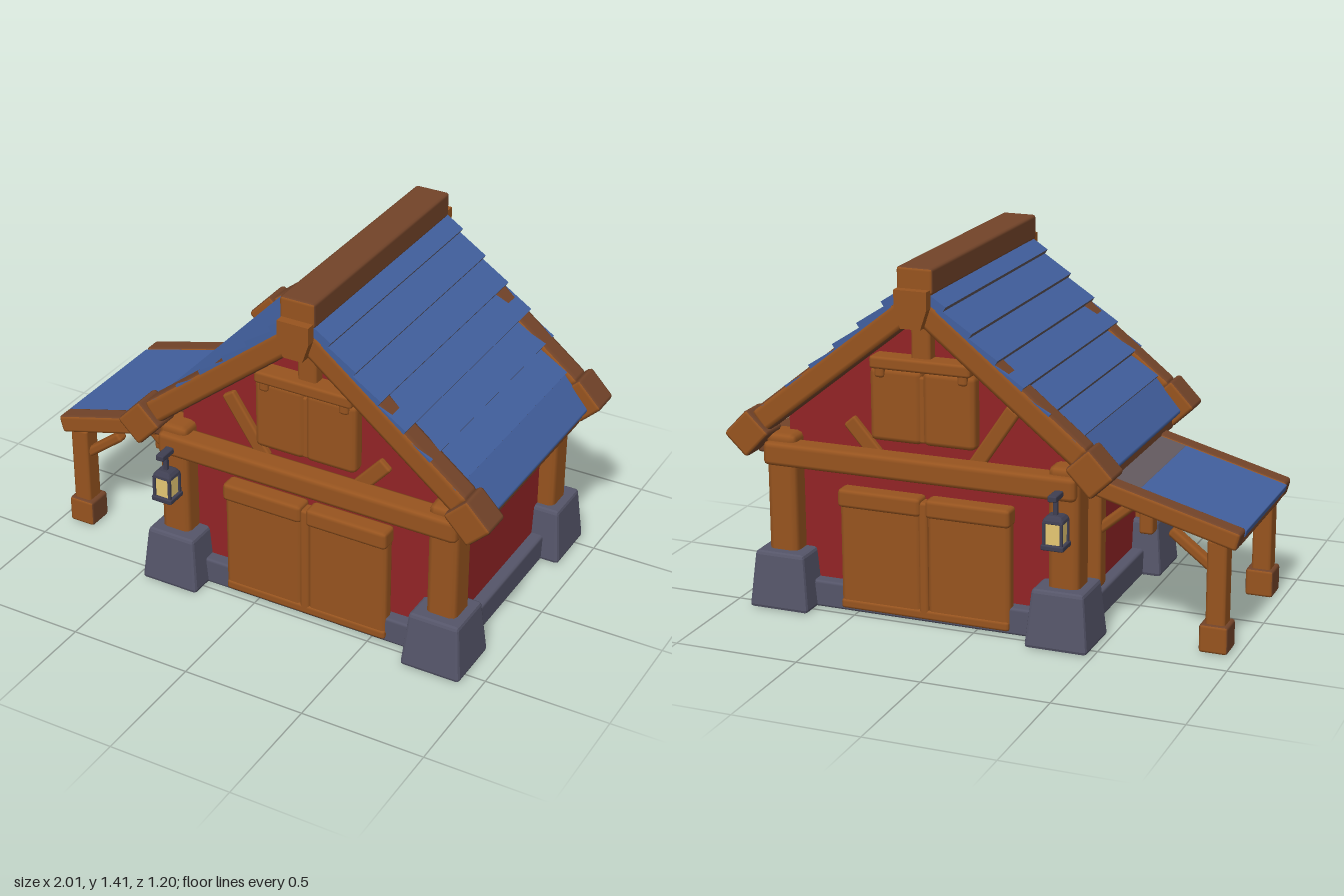
import * as THREE from 'three';
import { RoundedBoxGeometry } from 'three/addons/geometries/RoundedBoxGeometry.js';

const mat = (name, color) => {
  const m = new THREE.MeshStandardMaterial({ color });
  m.name = name;
  return m;
};

export function createModel() {
  const model = new THREE.Group();
  model.name = 'barn';
  const wood = mat('warm wood', 0x97541f);
  const dark = mat('dark wood', 0x734429);
  const red = mat('red wall', 0x922426);
  const blue = mat('blue roof', 0x42609f);
  const worn = mat('worn plank edge', 0x645a60);
  const stone = mat('grey stone', 0x555569);
  const iron = mat('dark iron', 0x3f3f52);
  const glow = mat('lamp glow', 0xe6c873);
  const CX = 0.222; // centre line of the house
  // timber with dark sides and warm front and back
  const timber = [dark, dark, dark, dark, wood, wood];

  const add = (name, geo, material, x, y, z, parent = model) => {
    const m = new THREE.Mesh(geo, material);
    m.name = name;
    m.position.set(x, y, z);
    parent.add(m);
    return m;
  };
  const block = (name, w, h, d, material, x, y, z, parent = model, r = 0.012) =>
    add(name, new RoundedBoxGeometry(w, h, d, 1, Math.min(r, w / 3, h / 3, d / 3)), material, x, y, z, parent);
  // box running between two points of the xy plane
  const beam = (name, a, b, thick, depth, material, z, parent = model, r = 0.014) => {
    const dx = b[0] - a[0], dy = b[1] - a[1];
    const m = block(name, Math.hypot(dx, dy), thick, depth, material,
      (a[0] + b[0]) / 2, (a[1] + b[1]) / 2, z, parent, r);
    m.rotation.z = Math.atan2(dy, dx);
    return m;
  };
  const extrude = (points, depth) => {
    const shape = new THREE.Shape(points.map(p => new THREE.Vector2(p[0], p[1])));
    return new THREE.ExtrudeGeometry(shape, { depth, bevelEnabled: false }).translate(0, 0, -depth / 2);
  };
  // box narrowed towards the top
  const taper = (w, h, d, k) => {
    const g = new RoundedBoxGeometry(w, h, d, 1, 0.014);
    const p = g.attributes.position;
    for (let i = 0; i < p.count; i++) {
      const s = 1 - (1 - k) * (p.getY(i) / h + 0.5);
      p.setX(i, p.getX(i) * s);
      p.setZ(i, p.getZ(i) * s);
    }
    g.computeVertexNormals();
    return g;
  };

  // walls
  add('walls', extrude([[-0.575, 0.05], [0.575, 0.05], [0.575, 0.79], [0, 1.25], [-0.575, 0.79]], 0.84),
    red, CX, 0, 0);

  // stone sill, corner stones, posts and side beams
  for (const s of [1, -1]) {
    block('stoneSill', 1.1, 0.11, 0.15, stone, CX, 0.055, s * 0.395);
    block('sideSill', 0.15, 0.11, 0.8, stone, CX + s * 0.55, 0.055, 0);
    block('sideBeam', 0.1, 0.09, 0.8, dark, CX + s * 0.57, 0.615, 0);
    for (const t of [1, -1]) {
      add('cornerStone', taper(0.25, 0.23, 0.25, 0.82), stone, CX + s * 0.575, 0.115, t * 0.443);
      block('cornerPost', 0.125, 0.5, 0.13, wood, CX + s * 0.58, 0.45, t * 0.435, model, 0.025);
    }
  }

  // roof halves
  const roofHalf = (name, turn) => {
    const g = new THREE.Group();
    g.name = name;
    g.position.x = CX;
    g.rotation.y = turn;
    model.add(g);
    beam('roofDeck', [0.02, 1.26], [0.66, 0.74], 0.05, 1.0, dark, 0, g);
    const a = THREE.MathUtils.degToRad(33), c = Math.cos(a), s = Math.sin(a), len = 0.16, t = 0.034;
    for (let i = 0; i < 6; i++) {
      const x = 0.13 + 0.102 * i, y = 1.27 - 0.091 * i;
      const plank = add('roofPlank', new THREE.BoxGeometry(len, t, 1.05), [worn, blue, blue, blue, blue, blue],
        x - c * len / 2 - s * t / 2, y + s * len / 2 - c * t / 2, 0, g);
      plank.rotation.z = -a;
    }
    beam('eaveSheet', [0.6, 0.82], [0.73, 0.665], 0.035, 0.88, blue, 0, g);
    block('eaveBeam', 0.07, 0.07, 0.9, dark, 0.67, 0.635, 0, g);
    for (const z of [0.48, -0.48]) {
      beam('rafter', [0.02, 1.255], [0.66, 0.745], 0.1, 0.1, timber, z, g, 0.022);
      beam('rafterEnd', [0.648, 0.755], [0.748, 0.65], 0.13, 0.13, timber, z + Math.sign(z) * 0.008, g);
    }
  };
  roofHalf('rightRoof', 0);
  roofHalf('leftRoof', Math.PI);
  block('ridgeBeam', 0.145, 0.1, 1.06, timber, 0.215, 1.36, 0);

  // gable ends
  for (const s of [1, -1]) {
    add('ridgeCap', extrude([[-0.065, 1.33], [-0.065, 1.26], [-0.04, 1.185], [0.04, 1.185], [0.065, 1.26], [0.065, 1.33]],
      0.1), timber[4], 0.217, 0, s * 0.515);
    block('kingPost', 0.08, 0.2, 0.06, wood, 0.22, 1.11, s * 0.44);
    block('tieBeam', 1.28, 0.095, 0.1, wood, CX + 0.005, 0.622, s * 0.475, model, 0.02);
    beam('gableBrace', [-0.14, 0.88], [0.02, 0.64], 0.06, 0.03, wood, s * 0.43);
    beam('gableBrace', [0.535, 0.77], [0.42, 0.64], 0.06, 0.03, wood, s * 0.43);

    // hayloft shutters
    for (const x of [0.106, 0.323]) {
      block('loftShutter', 0.213, 0.29, 0.07, wood, x, 0.857, s * 0.445, model, 0.022);
      block('shutterHinge', 0.04, 0.05, 0.075, wood, x + (x < 0.2 ? -0.06 : 0.06), 0.99, s * 0.455);
    }
    block('loftRail', 0.41, 0.05, 0.09, wood, 0.215, 1.025, s * 0.455);
    block('loftCatch', 0.03, 0.26, 0.04, wood, 0.215, 0.85, s * 0.455);

    // main doors
    for (const x of [0.03, 0.395]) {
      block('barnDoor', 0.34, 0.46, 0.06, wood, x, 0.25, s * 0.45, model, 0.02);
      block('doorTopRail', 0.345, 0.075, 0.08, wood, x, 0.468, s * 0.455, model, 0.016);
    }
    block('doorPost', 0.04, 0.47, 0.06, wood, 0.214, 0.255, s * 0.455);
    block('doorSill', 0.7, 0.04, 0.06, wood, 0.214, 0.035, s * 0.455);

    // hanging lantern
    const lamp = new THREE.Group();
    lamp.name = 'lantern';
    lamp.position.set(-0.352, 0, s * 0.555);
    model.add(lamp);
    block('lanternArm', 0.035, 0.024, 0.13, iron, 0, 0.61, -s * 0.02, lamp, 0.005);
    block('lanternHook', 0.018, 0.08, 0.018, iron, 0, 0.57, 0, lamp, 0.004);
    add('lanternRoof', taper(0.095, 0.03, 0.095, 0.65), iron, 0, 0.525, 0, lamp);
    block('lanternGlass', 0.066, 0.1, 0.066, glow, 0, 0.468, 0, lamp, 0.006);
    block('lanternBase', 0.09, 0.022, 0.09, iron, 0, 0.42, 0, lamp, 0.006);
    for (const x of [-1, 1]) for (const z of [-1, 1])
      block('lanternBar', 0.012, 0.1, 0.012, iron, x * 0.034, 0.468, z * 0.034, lamp, 0.002);
  }

  // lean-to shelter
  const shed = new THREE.Group();
  shed.name = 'leanTo';
  model.add(shed);
  for (const s of [1, -1]) {
    beam('shelterRafter', [-0.99, 0.443], [-0.38, 0.608], 0.075, 0.08, timber, s * 0.32, shed);
    block('shelterPost', 0.078, 0.34, 0.08, wood, -0.907, 0.27, s * 0.315, shed);
    block('postFoot', 0.112, 0.112, 0.112, timber, -0.905, 0.056, s * 0.315, shed);
    beam('shelterBrace', [-0.89, 0.32], [-0.72, 0.45], 0.04, 0.05, wood, s * 0.315, shed);
    beam('shelterBrace', [-0.57, 0.53], [-0.43, 0.41], 0.04, 0.05, wood, s * 0.315, shed);
    block('wallPost', 0.06, 0.42, 0.07, wood, -0.425, 0.4, s * 0.315, shed);
  }
  beam('shelterSheet', [-0.997, 0.458], [-0.58, 0.571], 0.03, 0.57, blue, 0, shed, 0.004);
  beam('wornSheet', [-0.585, 0.57], [-0.42, 0.614], 0.03, 0.57, worn, 0, shed, 0.004);
  block('shelterCrossBeam', 0.06, 0.05, 0.58, dark, -0.95, 0.43, 0, shed);

  return model;
}
